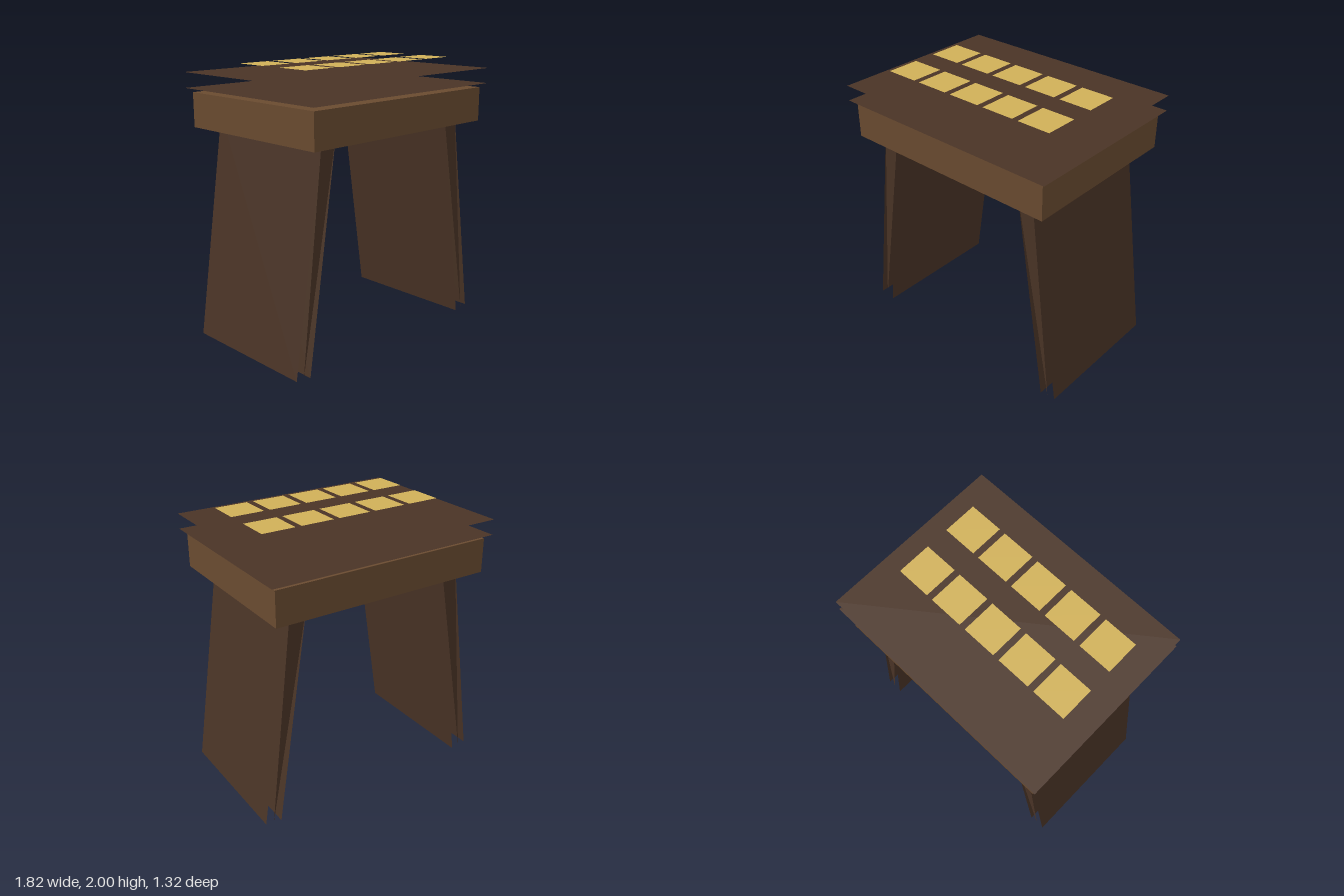
import * as THREE from 'three';

const paint = (color) => new THREE.MeshStandardMaterial({ color, side: THREE.DoubleSide });

export function createModel() {
  const model = new THREE.Group();
  model.name = 'table';
  const darkWood = paint(0x4a3426);
  const wood = paint(0x6a4b30);
  const gold = paint(0xd0b058);

  const add = (parent, name, geometry, material, x = 0, y = 0, z = 0) => {
    const mesh = new THREE.Mesh(geometry, material);
    mesh.name = name;
    mesh.position.set(x, y, z);
    parent.add(mesh);
    return mesh;
  };

  // Solid frame under the top
  add(model, 'frame', new THREE.BoxGeometry(1.66, 0.247, 1.24), wood, 0, 1.662, 0);

  // Table top: two open sheets, one above the other
  const sheet = new THREE.PlaneGeometry(1.74, 1.32).rotateX(-Math.PI / 2);
  add(model, 'topLowerSheet', sheet, darkWood, 0, 1.815, 0);
  add(model, 'topUpperSheet', sheet, darkWood, 0, 1.925, 0);

  // Two rows of five floating tiles
  const tile = new THREE.PlaneGeometry(0.245, 0.245).rotateX(-Math.PI / 2);
  for (const z of [-0.123, 0.288]) {
    for (let i = 0; i < 5; i++) add(model, 'tile', tile, gold, -0.582 + i * 0.29, 2, z);
  }

  // Splayed panel legs: inner and outer sheets with a tapering triangle at each end
  const length = 1.635, half = 0.061, depth = 1.04;
  const panel = new THREE.PlaneGeometry(depth, length).rotateY(Math.PI / 2);
  const wedge = new THREE.ShapeGeometry(new THREE.Shape([
    new THREE.Vector2(0, 0.005),
    new THREE.Vector2(half, length),
    new THREE.Vector2(-half, length),
  ]));
  for (const side of [1, -1]) {
    const leg = new THREE.Group();
    leg.name = side > 0 ? 'leftLeg' : 'rightLeg';
    leg.position.set(side * 0.85, 0.009, 0);
    leg.rotation.z = side * THREE.MathUtils.degToRad(8.5);
    add(leg, 'outerPanel', panel, darkWood, side * half, length / 2, 0);
    add(leg, 'innerPanel', panel, darkWood, -side * half, length / 2, 0);
    add(leg, 'frontWedge', wedge, darkWood, 0, 0, depth / 2);
    add(leg, 'backWedge', wedge, darkWood, 0, 0, -depth / 2).rotation.y = Math.PI;
    model.add(leg);
  }
  return model;
}
